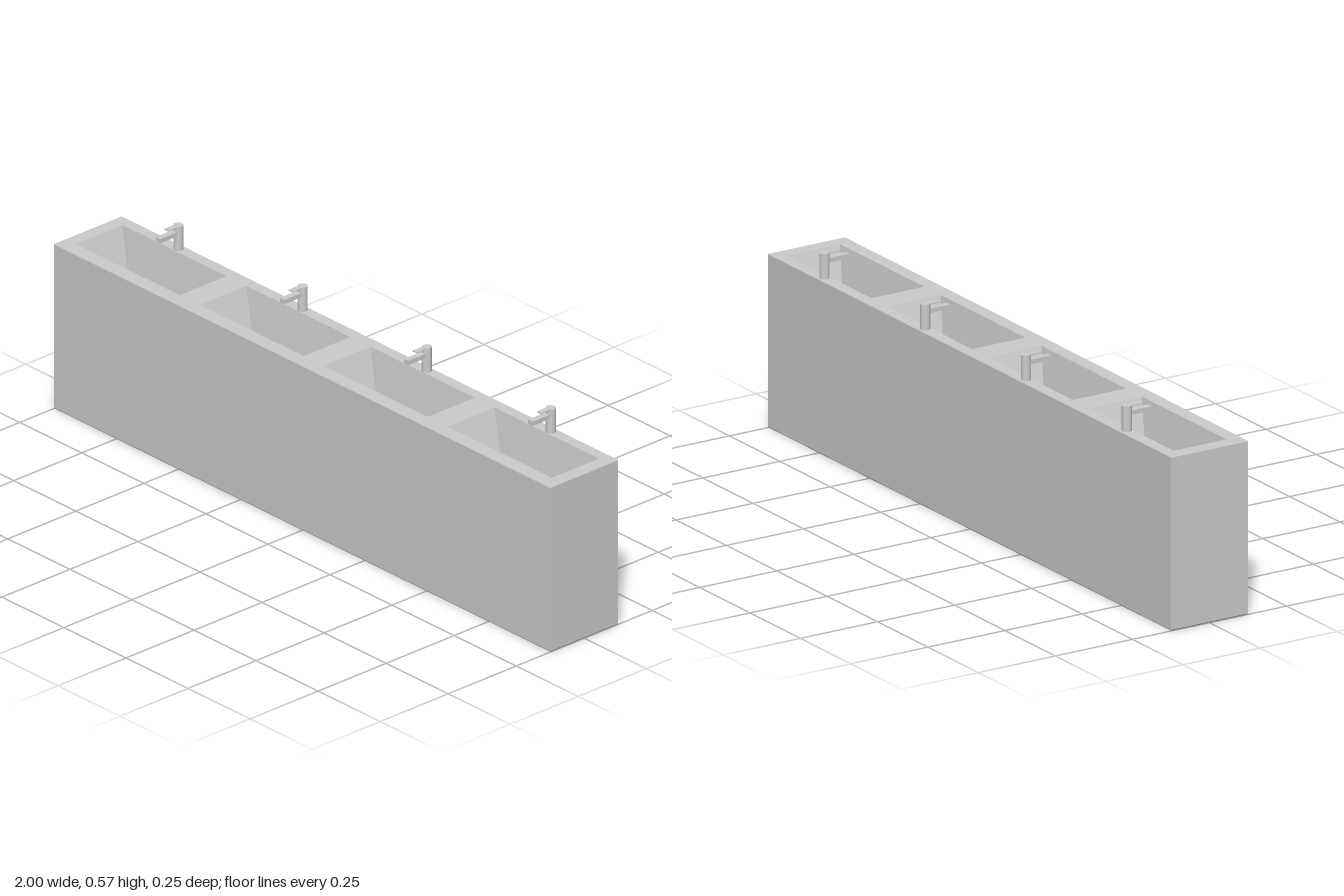
import * as THREE from 'three';

const material = new THREE.MeshStandardMaterial({ color: 0xcccccc });

function addMesh(parent, name, geometry, x = 0, y = 0, z = 0) {
  const mesh = new THREE.Mesh(geometry, material);
  mesh.name = name;
  mesh.position.set(x, y, z);
  parent.add(mesh);
  return mesh;
}

// Faceted solid through a series of rectangles [halfWidth, zBack, zFront, y]
function rectLoft(rings) {
  const corners = rings.map(([w, back, front, y]) => [
    [-w, y, front], [w, y, front], [w, y, back], [-w, y, back],
  ]);
  const positions = [];
  const quad = (a, b, c, d) => positions.push(...a, ...b, ...c, ...a, ...c, ...d);
  for (let i = 0; i < corners.length - 1; i++) {
    const lower = corners[i], upper = corners[i + 1];
    for (let k = 0; k < 4; k++) {
      const n = (k + 1) % 4;
      quad(lower[k], lower[n], upper[n], upper[k]);
    }
  }
  const first = corners[0], last = corners[corners.length - 1];
  quad(first[3], first[2], first[1], first[0]);
  quad(last[0], last[1], last[2], last[3]);
  const geometry = new THREE.BufferGeometry();
  geometry.setAttribute('position', new THREE.Float32BufferAttribute(positions, 3));
  geometry.computeVertexNormals();
  return geometry;
}

// Cabinet walls, rim and sunken basin with sloping sides
const cabinetGeometry = rectLoft([
  [0.248, -0.123, 0.123, 0],
  [0.25, -0.125, 0.125, 0.003],
  [0.25, -0.125, 0.125, 0.498],
  [0.249, -0.124, 0.124, 0.5],
  [0.21, -0.09, 0.082, 0.5],
  [0.165, -0.07, 0.061, 0.38],
]);

// Upright column with a straight spout and a thin lever plate on top
function createFaucet() {
  const faucet = new THREE.Group();
  faucet.name = 'faucet';
  addMesh(faucet, 'faucetColumn', new THREE.CylinderGeometry(0.014, 0.014, 0.073, 32), 0, 0.0365, 0);
  addMesh(faucet, 'spout', new THREE.BoxGeometry(0.018, 0.013, 0.07), 0, 0.0515, 0.04);
  addMesh(faucet, 'lever', new THREE.BoxGeometry(0.016, 0.003, 0.044), 0, 0.0713, 0.022);
  return faucet;
}

export function createModel() {
  const model = new THREE.Group();
  model.name = 'washbasinRow';
  for (let i = 0; i < 4; i++) {
    const unit = new THREE.Group();
    unit.name = 'washbasinUnit';
    unit.position.x = -0.75 + i * 0.5;
    addMesh(unit, 'basinCabinet', cabinetGeometry);
    const faucet = createFaucet();
    faucet.position.set(0, 0.5, -0.105);
    unit.add(faucet);
    model.add(unit);
  }
  return model;
}
